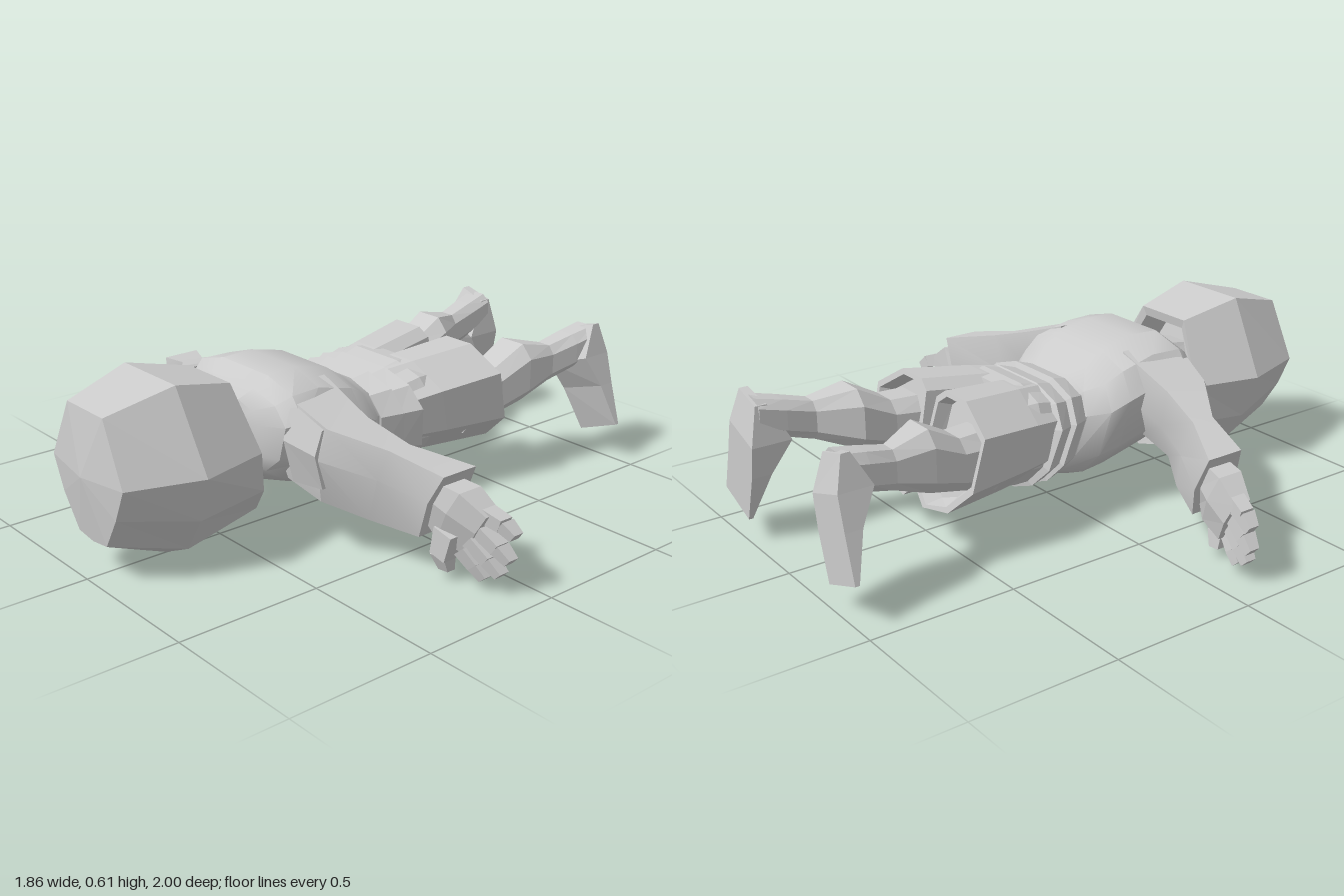
import * as THREE from 'three';
import { toCreasedNormals } from 'three/addons/utils/BufferGeometryUtils.js';

const flat = new THREE.MeshStandardMaterial({ color: 0xcccccc, flatShading: true });
const smooth = new THREE.MeshStandardMaterial({ color: 0xcccccc });

// Joins closed rings of equal point count; each end is closed by a fan to its centre.
function loft(rings, { tip, creased = false } = {}) {
  const n = rings[0].length;
  const pos = rings.flat(2);
  const idx = [];
  for (let r = 0; r < rings.length - 1; r++) {
    for (let i = 0; i < n; i++) {
      const a = r * n + i, b = r * n + (i + 1) % n;
      idx.push(a, b, b + n, a, b + n, a + n);
    }
  }
  const cap = (r, flip, point) => {
    const c = pos.length / 3;
    pos.push(...(point ?? [0, 1, 2].map(k => rings[r].reduce((s, p) => s + p[k], 0) / n)));
    for (let i = 0; i < n; i++) {
      const a = r * n + i, b = r * n + (i + 1) % n;
      idx.push(...(flip ? [c, b, a] : [c, a, b]));
    }
  };
  cap(0, true, tip);
  cap(rings.length - 1, false);
  // Turn the faces outward whichever way the rings run
  const v = i => new THREE.Vector3().fromArray(pos, i * 3);
  let volume = 0;
  for (let i = 0; i < idx.length; i += 3) volume += v(idx[i]).dot(v(idx[i + 1]).cross(v(idx[i + 2])));
  if (volume < 0) idx.reverse();
  const geo = new THREE.BufferGeometry();
  geo.setAttribute('position', new THREE.Float32BufferAttribute(pos, 3));
  geo.setIndex(idx);
  geo.computeVertexNormals();
  return creased ? toCreasedNormals(geo, 0.6) : geo;
}

// Rounded-square ring across z; tilt leans its top towards the head, taper narrows its underside.
function ringZ(z, x, w, bottom, top, tilt = 0, n = 12, taper = 0) {
  const mid = (top + bottom) / 2, h = (top - bottom) / 2;
  return Array.from({ length: n }, (_, i) => {
    const a = (i + 0.5) / n * Math.PI * 2;
    const f = t => Math.sign(t) * Math.min(1, Math.abs(t) ** 0.7 * 1.03);
    const s = f(Math.sin(a));
    return [x + w * f(Math.cos(a)) * (1 + taper * Math.min(0, s)), mid + h * s, z + tilt * h * s];
  });
}

// Body ring: centred and narrower underneath
const bodyRing = (z, w, bottom, top, tilt = 0.2) => ringZ(z, 0, w, bottom, top, tilt, 12, 0.3);

// Six-sided arm ring between its upper and lower edge points, spanning z0..z1.
function armRing([tx, ty], [bx, by], z0, z1) {
  const at = (t, s) => [bx + (tx - bx) * t, by + (ty - by) * t, z0 + (z1 - z0) * s];
  return [at(1, 0.05), at(1, 0.85), at(0.6, 1), at(0, 0.85), at(0, 0.25), at(0.5, 0)];
}

// Box bar between two points, w wide in the xy plane and d deep in z.
function bar(a, b, w, d, taper) {
  const l = Math.hypot(b[0] - a[0], b[1] - a[1]);
  const nx = -(b[1] - a[1]) / l, ny = (b[0] - a[0]) / l;
  const ring = (p, k) => [[1, 1], [-1, 1], [-1, -1], [1, -1]].map(([s, t]) =>
    [p[0] + nx * w * k * s / 2, p[1] + ny * w * k * s / 2, p[2] + d * k * t / 2]);
  return loft([ring(a, 1), ring(b, taper)]);
}

function add(parent, name, geo, mat = flat) {
  const mesh = new THREE.Mesh(geo, mat);
  mesh.name = name;
  parent.add(mesh);
}

function buildHead(group) {
  // Half profile: back of head, temple, cheek, jaw; then the middle of the face
  const ring = (half, chin) => [...half, chin, ...[...half].reverse().map(([x, y, z]) => [-x, y, z])];
  const crown = ring([[0.1, 0.55, 0.97], [0.2, 0.35, 0.975], [0.15, 0.24, 0.975], [0.08, 0.13, 0.97]], [0, 0.12, 0.97]);
  const middle = ring([[0.14, 0.61, 0.74], [0.28, 0.35, 0.73], [0.22, 0.19, 0.72], [0.13, 0.06, 0.71]], [0, 0, 0.71]);
  const nape = ring([[0.11, 0.56, 0.52], [0.22, 0.35, 0.485], [0.18, 0.2, 0.45], [0.11, 0.11, 0.43]], [0, 0.08, 0.42]);
  const inset = (k, dz) => nape.map(([x, y, z]) => [x * k, 0.33 + (y - 0.33) * k, z + dz]);
  add(group, 'head', loft([crown, middle, nape, inset(0.86, 0.005), inset(0.8, 0.12)], { tip: [0, 0.34, 1] }));
  add(group, 'neck', loft([ringZ(0.6, 0, 0.09, 0.27, 0.45, 0, 8), ringZ(0.4, 0, 0.11, 0.25, 0.49, 0, 8)]));
}

function buildBody(group) {
  add(group, 'torso', loft([
    bodyRing(0.46, 0.17, 0.28, 0.48, 0),
    bodyRing(0.43, 0.27, 0.23, 0.52, 0),
    bodyRing(0.38, 0.3, 0.19, 0.555, 0),
    bodyRing(0.27, 0.29, 0.15, 0.56, 0),
    bodyRing(0.12, 0.295, 0.11, 0.53, 0.1),
    bodyRing(0.05, 0.275, 0.095, 0.49, 0.15),
    bodyRing(-0.01, 0.22, 0.11, 0.46),
    bodyRing(-0.06, 0.2, 0.13, 0.44),
  ], { creased: true }), smooth);
  // Two overlapping bands, each flaring towards the legs
  add(group, 'shirtHem', loft([bodyRing(-0.02, 0.225, 0.11, 0.45), bodyRing(-0.09, 0.265, 0.1, 0.47),
    bodyRing(-0.1, 0.22, 0.13, 0.44)]));
  add(group, 'belt', loft([bodyRing(-0.09, 0.24, 0.11, 0.45), bodyRing(-0.16, 0.28, 0.105, 0.47),
    bodyRing(-0.17, 0.24, 0.13, 0.45)]));
  add(group, 'shortsSeat', loft([bodyRing(-0.14, 0.245, 0.115, 0.46), bodyRing(-0.22, 0.26, 0.12, 0.48),
    bodyRing(-0.28, 0.25, 0.13, 0.475)]));
}

function buildLeg(group) {
  // Boxy trouser leg flaring to its hem, underside sloping in: inner and outer x, bottom and top y
  const hem = (z, xi, xo, b, t, xc = 0) => [
    [xi, t - 0.03], [xi + 0.04, t], [xo - 0.13, t], [xo, t - 0.08],
    [xo - 0.01, b + 0.13], [xo - 0.12, b + 0.03], [xc + 0.06, b], [xc, b + 0.05],
  ].map(([x, y]) => [x, y, z + 0.24 * (y - 0.31)]);
  add(group, 'shortsLeg', loft([
    hem(-0.16, 0, 0.25, 0.12, 0.465),
    hem(-0.26, 0, 0.275, 0.12, 0.48),
    hem(-0.5, 0.03, 0.32, 0.12, 0.505),
    hem(-0.5, 0.045, 0.305, 0.135, 0.49, 0.015),
    hem(-0.45, 0.055, 0.29, 0.15, 0.475, 0.03),
  ]));
  add(group, 'leg', loft([
    ringZ(-0.38, 0.19, 0.09, 0.2, 0.42, 0, 8),
    ringZ(-0.52, 0.205, 0.085, 0.24, 0.42, 0, 8),
    ringZ(-0.64, 0.213, 0.097, 0.27, 0.485, 0, 8),
    ringZ(-0.77, 0.248, 0.05, 0.32, 0.455, 0, 8),
    ringZ(-0.87, 0.262, 0.06, 0.35, 0.48, 0, 8),
    ringZ(-0.96, 0.275, 0.065, 0.38, 0.5, 0, 8),
  ]));
  // Foot hanging from the heel, sole facing back
  const foot = (ix, iy, ox, oy, zi, zo, zb) => [[ix, iy, zi], [ox, oy, zo], [ox, oy, zb], [ix, iy, zb]];
  add(group, 'foot', loft([
    foot(0.22, 0.48, 0.33, 0.51, -0.93, -0.94, -0.97),
    foot(0.2, 0.35, 0.355, 0.4, -0.86, -0.88, -1),
    foot(0.22, 0.24, 0.385, 0.29, -0.93, -0.94, -1),
    foot(0.27, 0.08, 0.43, 0.14, -0.985, -0.985, -1),
  ]));
}

function buildArm(group) {
  add(group, 'sleeve', loft([
    armRing([0.17, 0.53], [0.22, 0.24], 0.18, 0.42),
    armRing([0.39, 0.45], [0.36, 0.2], 0.19, 0.395),
    armRing([0.55, 0.4], [0.46, 0.14], 0.165, 0.27),
    armRing([0.735, 0.36], [0.635, 0.13], 0.06, 0.23),
    armRing([0.72, 0.34], [0.645, 0.15], 0.085, 0.21),
  ], { creased: true }), smooth);
  // Edge band where the sleeve meets the chest
  add(group, 'shoulderBand', loft([
    armRing([0.26, 0.49], [0.27, 0.25], 0.22, 0.435),
    armRing([0.38, 0.445], [0.38, 0.25], 0.21, 0.405),
  ]));
  add(group, 'palm', loft([
    armRing([0.7, 0.32], [0.65, 0.17], 0.09, 0.2),
    armRing([0.77, 0.31], [0.68, 0.13], 0.075, 0.19),
    armRing([0.85, 0.25], [0.77, 0.1], 0.07, 0.15),
  ]));
  // Two-jointed fingers from index to little, then thumb
  const fingers = [
    [[0.82, 0.245], [0.88, 0.225], [0.92, 0.195]],
    [[0.81, 0.195], [0.875, 0.15], [0.915, 0.115]],
    [[0.79, 0.155], [0.85, 0.105], [0.89, 0.065]],
    [[0.77, 0.12], [0.81, 0.075], [0.84, 0.04]],
  ];
  fingers.forEach(([a, b, c], i) => {
    const z = 0.09 + i * 0.012;
    add(group, 'fingerBase', bar([...a, z + 0.015], [...b, z], 0.048, 0.055, 0.9));
    add(group, 'fingerTip', bar([...b, z], [...c, z - 0.01], 0.043, 0.05, 0.75));
  });
  add(group, 'thumbBase', bar([0.72, 0.17, 0.16], [0.7, 0.08, 0.165], 0.075, 0.06, 0.85));
  add(group, 'thumbTip', bar([0.7, 0.085, 0.165], [0.705, 0.03, 0.15], 0.062, 0.05, 0.65));
}

export function createModel() {
  const model = new THREE.Group();
  model.name = 'lyingFigure';
  buildHead(model);
  buildBody(model);
  // Limbs are built on the left and mirrored to the right
  for (const [side, s] of [['left', 1], ['right', -1]]) {
    for (const [part, build] of [['Arm', buildArm], ['Leg', buildLeg]]) {
      const limb = new THREE.Group();
      limb.name = side + part;
      build(limb);
      limb.scale.x = s;
      model.add(limb);
    }
  }
  return model;
}
